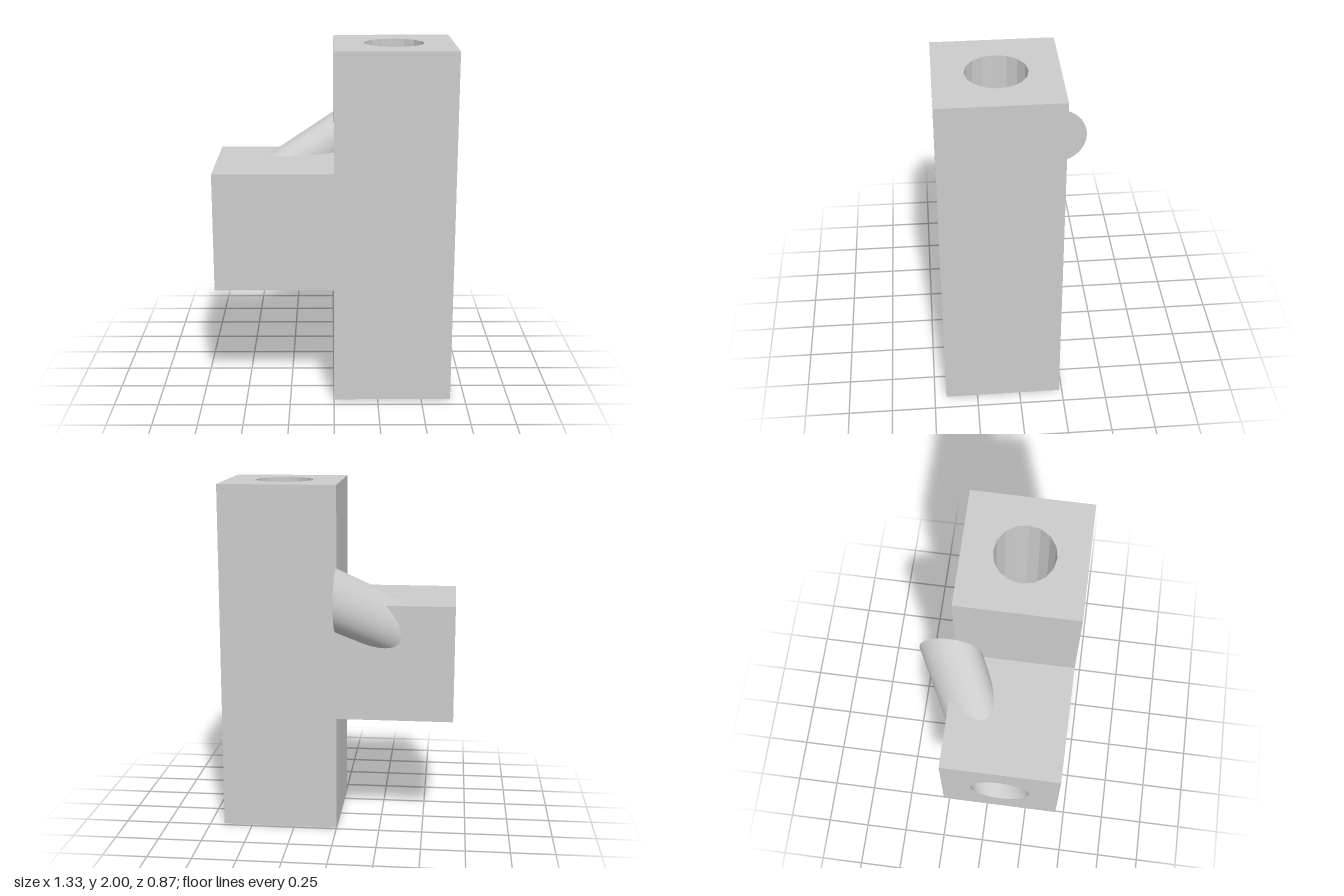
import * as THREE from 'three';
import { mergeVertices } from 'three/addons/utils/BufferGeometryUtils.js';

const S = 2 / 3;          // width of the square bars
const R = S / 4;          // bore radius
const ZC = 0.1;           // depth centre of both bars
const END = { y: 1.363, z: -0.26, r: 0.178 };  // inner end of the slanted tube

// Square with a round hole in its middle
function squareWithHole(segmentsCentreX, centreY) {
  const h = S / 2, x = segmentsCentreX, y = centreY;
  const shape = new THREE.Shape([
    new THREE.Vector2(x - h, y - h), new THREE.Vector2(x + h, y - h),
    new THREE.Vector2(x + h, y + h), new THREE.Vector2(x - h, y + h),
  ]);
  shape.holes.push(new THREE.Path().absarc(x, y, R, 0, Math.PI * 2, true));
  return shape;
}

export function createModel() {
  const group = new THREE.Group();
  const grey = new THREE.MeshStandardMaterial({ color: 0xcccccc });
  const greyBothSides = new THREE.MeshStandardMaterial({ color: 0xcccccc, side: THREE.DoubleSide });
  const add = (name, geometry, material = grey) => {
    const mesh = new THREE.Mesh(geometry, material);
    mesh.name = name;
    group.add(mesh);
  };

  // Upright post with a 16-sided bore through its length
  const post = new THREE.ExtrudeGeometry(squareWithHole(S / 2, -ZC), {
    depth: 2, bevelEnabled: false, curveSegments: 8,
  });
  post.rotateX(-Math.PI / 2);
  add('post', post);

  // Side arm: four long sides of a box, without its two ends
  const sides = new THREE.BoxGeometry(S, S, S);
  sides.setIndex(Array.from(sides.index.array).slice(12));
  sides.clearGroups();
  sides.translate(-S / 2, 1, ZC);
  add('armSides', sides);

  // Outer end of the arm with the round opening
  const end = new THREE.ShapeGeometry(squareWithHole(ZC, 1), 32);
  end.rotateY(-Math.PI / 2);
  end.translate(-S, 0, 0);
  add('armEnd', end);

  // Slanted tube from the arm opening, breaking out at the back beside the post
  let tube = new THREE.CylinderGeometry(END.r, R, S, 64, 1, true);
  tube.rotateZ(-Math.PI / 2);
  tube.translate(-S / 2, 0, 0);
  const p = tube.attributes.position;
  for (let i = 0; i < p.count; i++) {
    const t = (p.getX(i) + S) / S;
    p.setY(i, p.getY(i) + THREE.MathUtils.lerp(1, END.y, t));
    p.setZ(i, p.getZ(i) + THREE.MathUtils.lerp(ZC, END.z, t));
  }
  tube.deleteAttribute('uv');
  tube.deleteAttribute('normal');
  tube = mergeVertices(tube);
  tube.computeVertexNormals();
  add('slantedTube', tube, greyBothSides);

  // Flat disc closing the tube at the post
  const cap = new THREE.CircleGeometry(END.r, 64);
  cap.rotateY(Math.PI / 2);
  cap.translate(0, END.y, END.z);
  add('tubeCap', cap, greyBothSides);

  return group;
}
